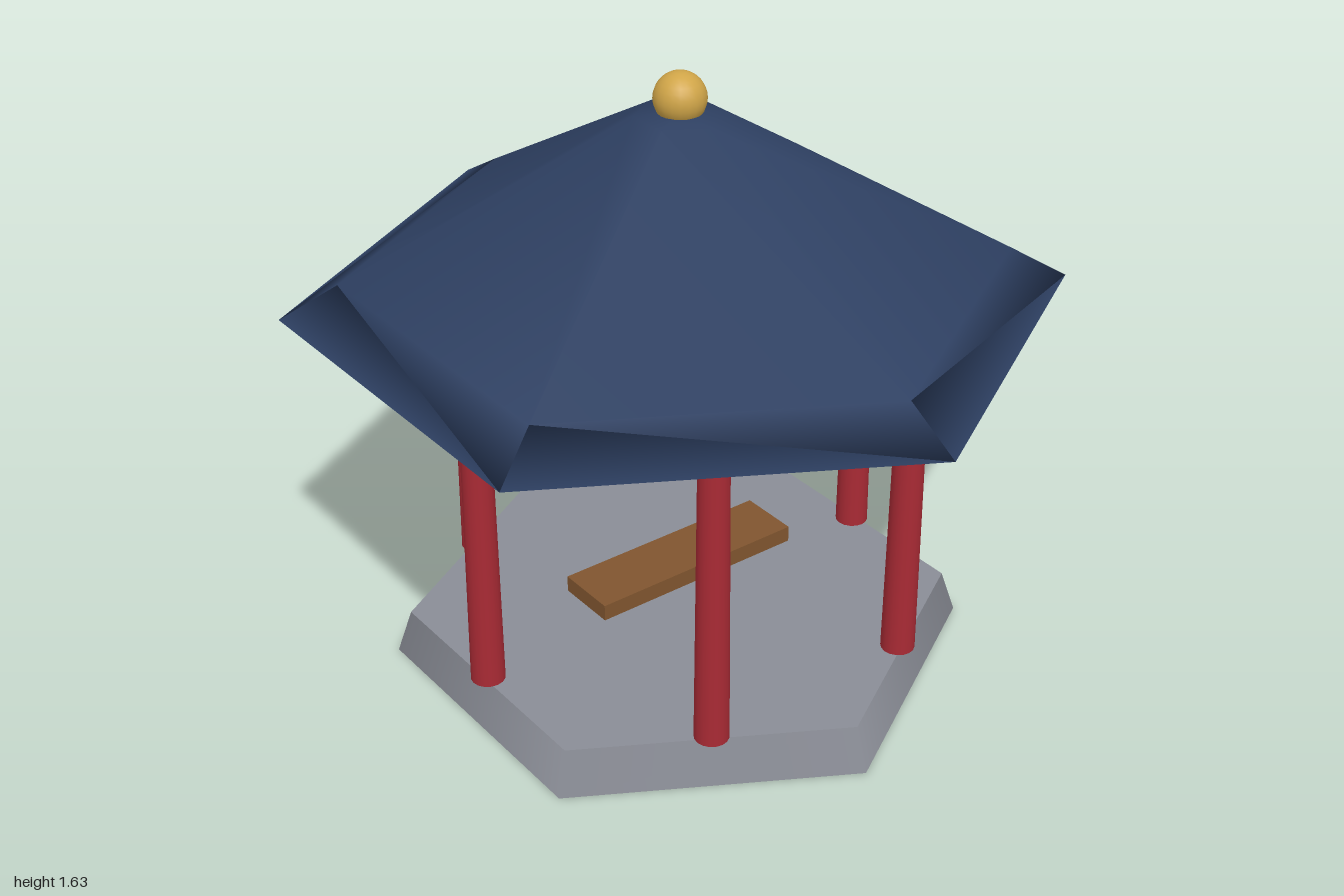
import * as THREE from 'three';

const material = (name, color) => {
  const m = new THREE.MeshStandardMaterial({ color });
  m.name = name;
  return m;
};

export function createModel() {
  const stone = material('stone grey', 0x8a8d96);
  const red = material('lacquer red', 0xa82a34);
  const blue = material('roof blue', 0x2d3f61);
  const wood = material('bench wood', 0x80552f);
  const gold = material('gold', 0xd0a548);

  const model = new THREE.Group();
  model.name = 'pavilion';
  const add = (name, geometry, mat, x, y, z) => {
    const mesh = new THREE.Mesh(geometry, mat);
    mesh.name = name;
    mesh.position.set(x, y, z);
    model.add(mesh);
    return mesh;
  };

  // Hexagonal plinth with corners on the x axis
  add('base', new THREE.CylinderGeometry(0.73, 0.77, 0.12, 6, 1, false, Math.PI / 2), stone, 0, 0.06, 0);

  // Six tapered columns, one at the middle of each side
  const columnGeometry = new THREE.CylinderGeometry(0.038, 0.045, 0.915, 16);
  for (let i = 0; i < 6; i++) {
    const a = (i * Math.PI) / 3;
    add('column' + (i + 1), columnGeometry, red, 0.62 * Math.sin(a), 0.5775, 0.62 * Math.cos(a));
  }

  // Bench plank
  add('bench', new THREE.BoxGeometry(0.17, 0.045, 0.62), wood, 0, 0.2325, 0);

  // Hexagonal roof: flat underside, sloping faces and a blunt peak
  const profile = [[0, 1.025], [1, 1.025], [0.85, 1.112], [0.115, 1.52], [0, 1.535]]
    .map(([r, y]) => new THREE.Vector2(r, y));
  add('roof', new THREE.LatheGeometry(profile, 6, Math.PI / 2), blue, 0, 0, 0);

  // Ball on the peak
  add('finial', new THREE.SphereGeometry(0.067, 20, 14), gold, 0, 1.562, 0);

  return model;
}
